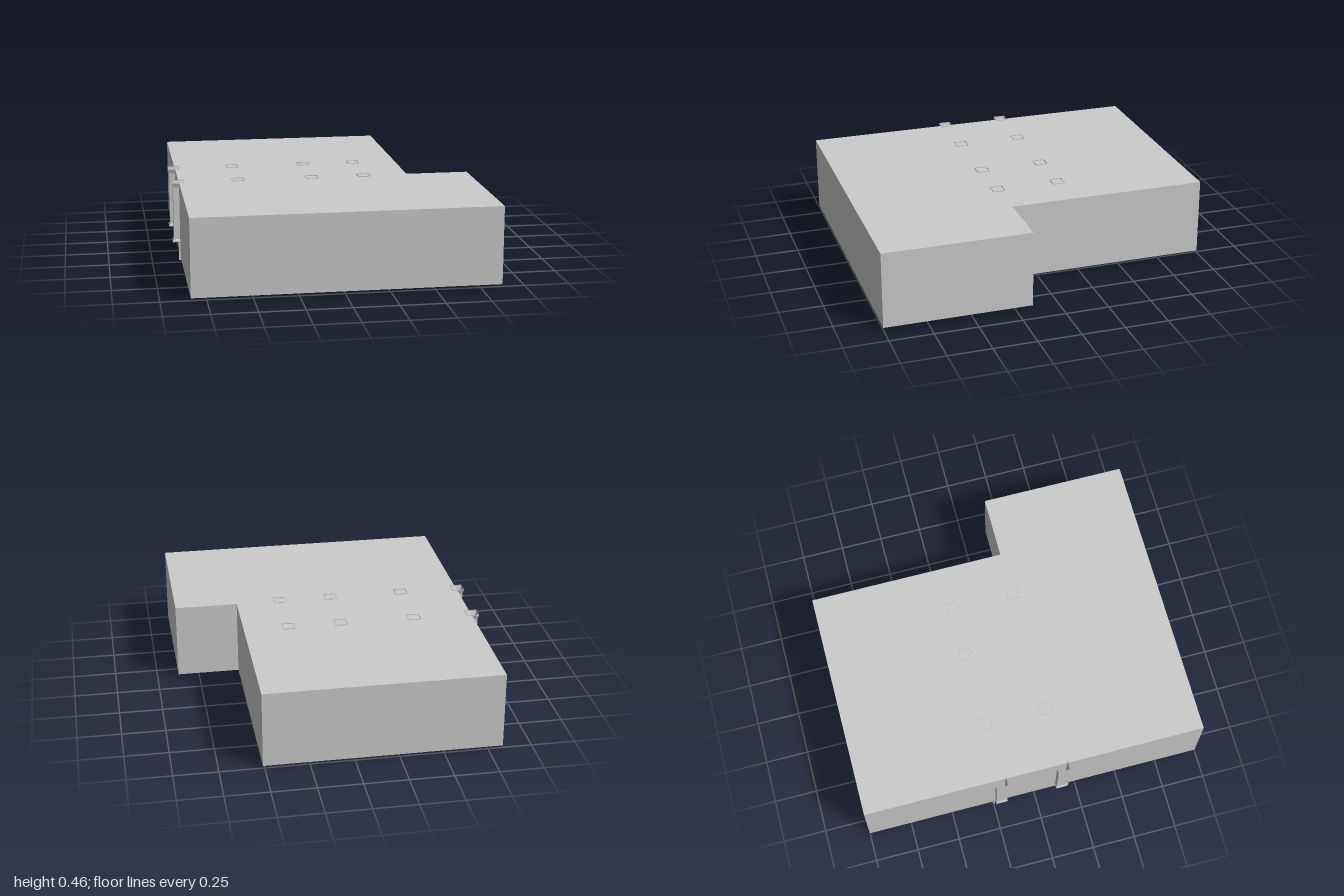
import * as THREE from 'three';

const FLOOR = 0.013, ROOF = 0.455;

export function createModel() {
  const group = new THREE.Group();
  const mat = new THREE.MeshStandardMaterial({
    color: 0xcccccc, flatShading: true, side: THREE.DoubleSide,
  });
  const add = (parent, geometry, name, x = 0, y = 0, z = 0) => {
    const mesh = new THREE.Mesh(geometry, mat);
    mesh.name = name;
    mesh.position.set(x, y, z);
    parent.add(mesh);
    return mesh;
  };
  const box = (parent, name, w, h, d, x, y, z) =>
    add(parent, new THREE.BoxGeometry(w, h, d), name, x, y, z);

  // L-shaped hall: floor, walls and flat roof
  const plan = new THREE.Shape([
    [-0.835, -1], [0.875, -1], [0.875, -0.15],
    [0.51, -0.15], [0.51, 1], [-0.835, 1],
  ].map(([x, y]) => new THREE.Vector2(x, y)));
  const hall = new THREE.ExtrudeGeometry(plan, { depth: ROOF - FLOOR, bevelEnabled: false });
  hall.rotateX(-Math.PI / 2);
  add(group, hall, 'hall', 0, FLOOR, 0);

  // Raised platform: a thin skirt on three sides, with a deck inside
  const platform = new THREE.Group();
  platform.name = 'platform';
  group.add(platform);
  for (const z of [-0.246, 0.206]) box(platform, 'platformSide', 0.415, 0.1, 0.008, -0.6375, 0.05, z);
  box(platform, 'platformFront', 0.008, 0.1, 0.452, -0.434, 0.05, -0.02);
  box(platform, 'platformDeck', 0.395, 0.006, 0.444, -0.6325, 0.097, -0.02);

  // Square hollow columns with flared base and capital
  const columnGeometry = (base) => {
    const profile = [
      [0.035, base], [0.035, base + 0.006], [0.028, base + 0.016],
      [0.028, 0.43], [0.035, 0.452], [0.035, 0.46],
    ].map(([half, y]) => new THREE.Vector2(half * Math.SQRT2, y));
    return new THREE.LatheGeometry(profile, 4).rotateY(Math.PI / 4).toNonIndexed();
  };
  for (const [x, base] of [[-0.842, 0.104], [-0.49, 0.1], [-0.057, 0.006], [0.25, 0.006]]) {
    const geometry = columnGeometry(base);
    for (const z of [-0.207, 0.157]) add(group, geometry, 'column', x, 0, z);
  }

  // Tables with four chairs each; the feet pass just below the floor
  const legs = (parent, half, height) => {
    for (const x of [-half, half]) for (const z of [-half, half])
      box(parent, 'leg', 0.005, height, 0.005, x, height / 2, z);
  };
  const places = [
    [0.13, -0.59], [-0.215, -0.59], [-0.28, 0.44], [0.28, 0.44],
    [0.33, 0.79], [0.08, 0.79], [-0.235, 0.79],
  ];
  for (const [x, z] of places) {
    const set = new THREE.Group();
    set.name = 'diningSet';
    set.position.set(x, 0.011, z);
    group.add(set);
    box(set, 'tableTop', 0.09, 0.006, 0.09, 0, 0.083, 0);
    legs(set, 0.035, 0.08);
    for (let i = 0; i < 4; i++) {
      const chair = new THREE.Group();
      chair.name = 'chair';
      const a = i * Math.PI / 2;
      chair.position.set(Math.sin(a) * 0.065, 0, Math.cos(a) * 0.065);
      chair.rotation.y = a;
      set.add(chair);
      legs(chair, 0.014, 0.045);
      box(chair, 'seat', 0.036, 0.005, 0.036, 0, 0.047, 0);
      box(chair, 'chairBack', 0.036, 0.045, 0.004, 0, 0.07, 0.016);
    }
  }
  return group;
}
